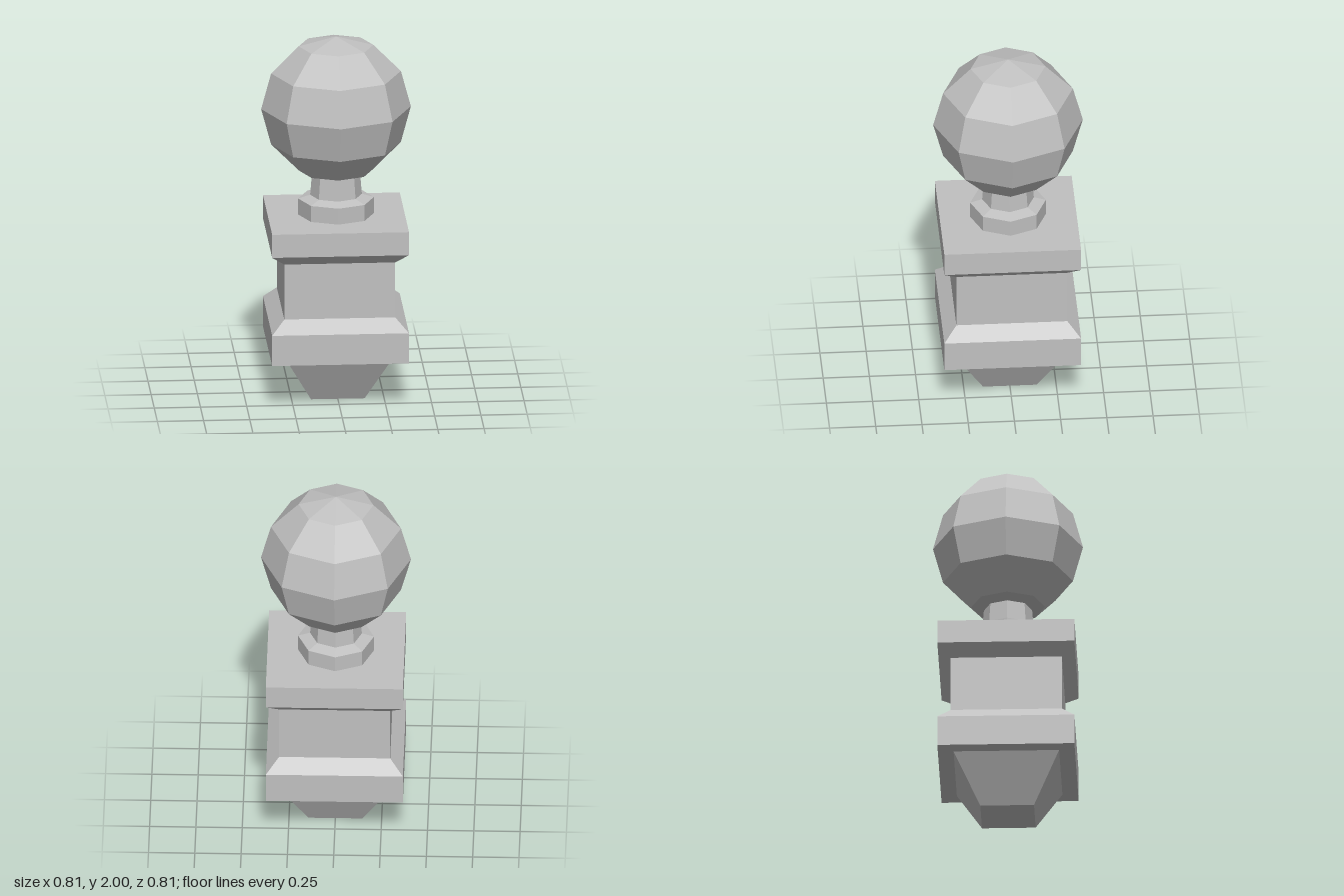
import * as THREE from 'three';

export function createModel() {
  const group = new THREE.Group();
  group.name = 'postFinial';
  const stone = new THREE.MeshStandardMaterial({ color: 0xc0c0c0, flatShading: true });
  stone.name = 'grey stone';

  // Faceted solid from a [radius, height] profile, listed bottom to top
  function turned(name, sides, profile) {
    const square = sides === 4;
    const scale = square ? Math.SQRT2 : 1; // square profiles give half widths
    const points = profile.map(([r, y]) => new THREE.Vector2(r * scale, y));
    const lathe = new THREE.LatheGeometry(points, sides, square ? Math.PI / 4 : 0);
    const mesh = new THREE.Mesh(lathe.toNonIndexed(), stone);
    mesh.geometry.computeVertexNormals();
    mesh.name = name;
    group.add(mesh);
  }

  // Tapered foot
  turned('foot', 4, [[0, 0], [0.145, 0], [0.285, 0.26]]);

  // Square pedestal with a chamfered plinth and cap
  turned('pedestal', 4, [
    [0, 0.26], [0.37, 0.26], [0.37, 0.43], [0.3, 0.5],
    [0.3, 0.81], [0.37, 0.87], [0.37, 1], [0, 1],
  ]);

  // Octagonal collar and neck
  turned('collar', 8, [[0.205, 1], [0.205, 1.09], [0.14, 1.11]]);
  turned('neck', 8, [[0.14, 1.11], [0.13, 1.23]]);

  // Faceted ball
  turned('ball', 8, [
    [0.12, 1.225], [0.2, 1.247], [0.351, 1.398], [0.405, 1.598],
    [0.351, 1.798], [0.202, 1.948], [0, 2],
  ]);

  return group;
}
